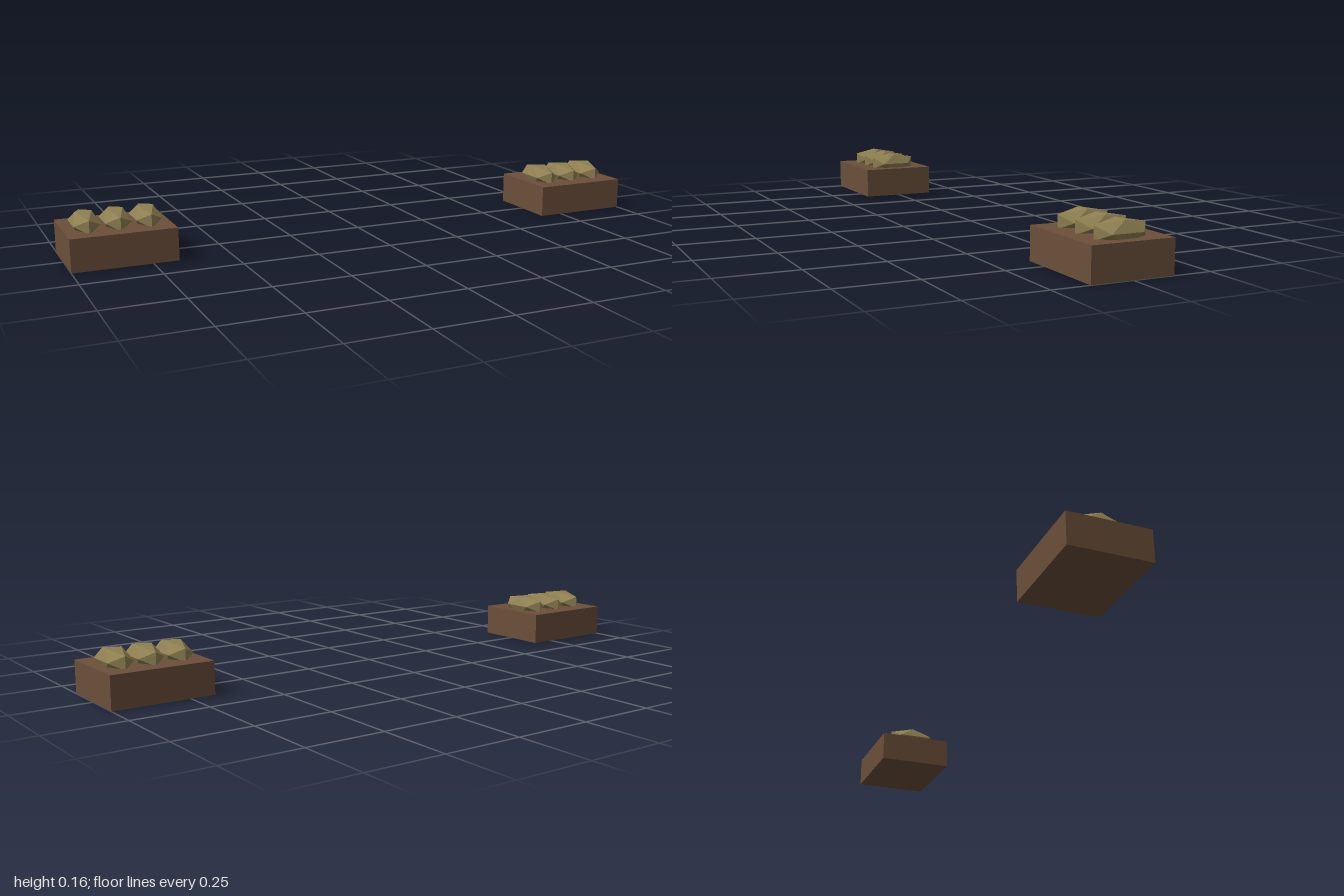
import * as THREE from 'three';

export function createModel() {
  const brown = new THREE.MeshStandardMaterial({ color: 0x6b4f3a });
  brown.name = 'earthBrown';
  const olive = new THREE.MeshStandardMaterial({ color: 0x8f8052 });
  olive.name = 'dullOlive';

  const model = new THREE.Group();
  model.name = 'blockPair';

  const blockGeometry = new THREE.BoxGeometry(0.331, 0.105, 0.262);
  // Faceted stud, stretched along z and half sunk into the block
  const studGeometry = new THREE.IcosahedronGeometry(1, 0).scale(0.0485, 0.041, 0.0964);

  for (const [name, side] of [['left', 1], ['right', -1]]) {
    const unit = new THREE.Group();
    unit.name = name + 'Unit';
    unit.position.x = side * 0.8345;

    const block = new THREE.Mesh(blockGeometry, brown);
    block.name = name + 'Block';
    block.position.y = 0.0525;
    unit.add(block);

    // Row of three studs on top
    for (let i = -1; i <= 1; i++) {
      const stud = new THREE.Mesh(studGeometry, olive);
      stud.name = name + 'Stud' + (i + 2);
      stud.position.set(i * 0.096, 0.121, 0);
      unit.add(stud);
    }
    model.add(unit);
  }
  return model;
}
